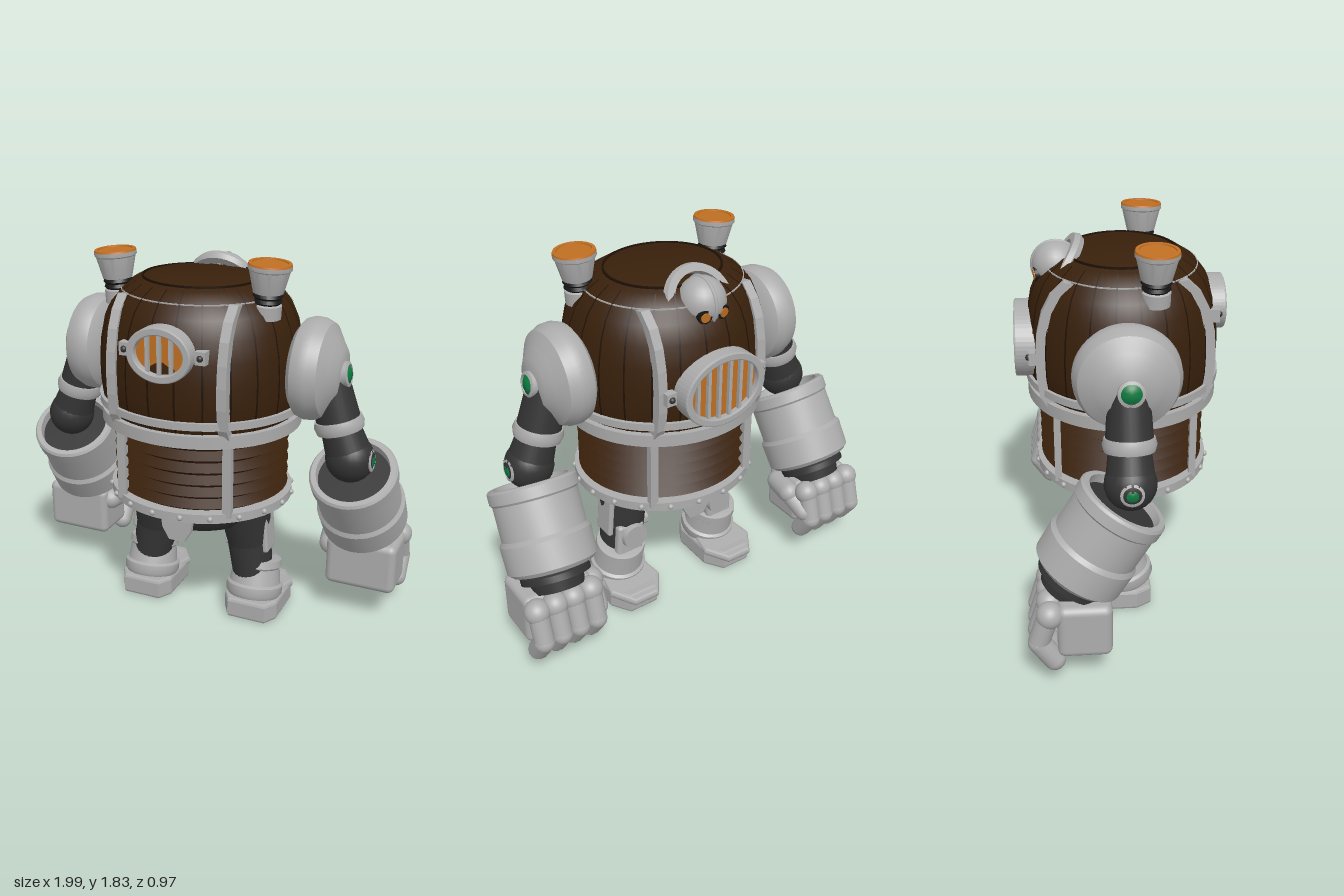
import * as THREE from 'three';
import { toCreasedNormals } from 'three/addons/utils/BufferGeometryUtils.js';
import { RoundedBoxGeometry } from 'three/addons/geometries/RoundedBoxGeometry.js';

const mat = (name, color) => {
  const m = new THREE.MeshStandardMaterial({ color });
  m.name = name;
  return m;
};
const steel = mat('light steel', 0xacacac), dark = mat('dark metal', 0x333333);
const brown = mat('brown', 0x38200b), seam = mat('seam brown', 0x1e1006);
const orange = mat('orange glow', 0xc06f22), green = mat('green gem', 0x0c7a40), black = mat('black', 0x161616);

const V = (x, y, z) => new THREE.Vector3(x, y, z);
const add = (parent, name, geo, m, pos = [0, 0, 0], rot = [0, 0, 0]) => {
  const mesh = new THREE.Mesh(geo, m);
  mesh.name = name;
  mesh.position.set(...pos);
  mesh.rotation.set(...rot);
  parent.add(mesh);
  return mesh;
};
const group = (parent, name) => {
  const g = new THREE.Group();
  g.name = name;
  parent.add(g);
  return g;
};
const lathe = (pts, n = 40) => toCreasedNormals(new THREE.LatheGeometry(pts.map(p => new THREE.Vector2(...p)), n), 0.6);
// Closed band of rectangular section
const band = (r0, r1, y0, y1, n = 56) => lathe([[r0, y0], [r1, y0], [r1, y1], [r0, y1], [r0, y0]], n);
const ball = (r) => new THREE.SphereGeometry(r, 24, 16);
// Stands an object on point a with its +y axis aimed at b
const aim = (o, a, b) => {
  o.position.copy(a);
  o.quaternion.setFromUnitVectors(V(0, 1, 0), b.clone().sub(a).normalize());
  return o;
};
const rod = (parent, name, a, b, ra, rb, m) =>
  aim(add(parent, name, new THREE.CylinderGeometry(rb, ra, a.distanceTo(b), 28).translate(0, a.distanceTo(b) / 2, 0), m), a, b);
const capsule = (parent, name, a, b, r, m) =>
  aim(add(parent, name, new THREE.CapsuleGeometry(r, a.distanceTo(b), 6, 14).translate(0, a.distanceTo(b) / 2, 0), m), a, b);
const gem = (parent, name, a, b, r) => {
  const g = aim(group(parent, name), a, b);
  add(g, 'gemMount', lathe([[0, 0], [r * 1.3, 0], [r * 1.3, 0.04], [r, 0.045], [r, 0.03]], 24), steel);
  add(g, 'gem', lathe([[r, 0.035], [r * 0.6, 0.048], [0, 0.052]], 24), green);
};

const BARREL = [[0.44, 1.05], [0.475, 1.12], [0.487, 1.22], [0.489, 1.32], [0.481, 1.42], [0.46, 1.52], [0.425, 1.6], [0.375, 1.66], [0.31, 1.7], [0.24, 1.72]];

function buildBody(root) {
  const body = group(root, 'body');
  body.position.z = 0.015;
  body.scale.z = 0.92;
  add(body, 'barrel', lathe([[0, 1.05], ...BARREL, [0, 1.722]], 64), brown);
  add(body, 'topSeam', band(0.27, 0.28, 1.69, 1.717), seam);
  // Plank seams
  const line = BARREL.map(([r, y]) => new THREE.Vector2(r + 0.002, y + 0.001));
  for (let i = 0; i < 24; i++) {
    add(body, 'plankSeam', new THREE.LatheGeometry(line.slice(0, 9), 1, (i + 0.5) * Math.PI / 12 - 0.009, 0.018), seam);
  }
  // Bellows waist
  const folds = [[0, 0.68]];
  for (let i = 0; i < 6; i++) folds.push([0.38, 0.68 + i * 0.06], [0.43, 0.71 + i * 0.06]);
  add(body, 'bellows', lathe([...folds, [0.38, 1.05], [0, 1.05]], 56), brown);
  // Hoops
  add(body, 'topHoop', band(0.34, 0.38, 1.63, 1.66), steel);
  add(body, 'chestHoop', band(0.45, 0.497, 1.12, 1.155), steel);
  add(body, 'belt', band(0.38, 0.488, 1.03, 1.09), steel);
  add(body, 'hipHoop', band(0.33, 0.452, 0.645, 0.69), steel);
  for (let i = 0; i < 20; i++) {
    const a = (i + 0.5) * Math.PI / 10;
    add(body, 'rivet', ball(0.014), steel, [0.453 * Math.sin(a), 0.668, 0.453 * Math.cos(a)]);
  }
  // Straps that follow the barrel and the waist
  const X = 0.27;
  const path = BARREL.slice(0, 8).map(([r, y]) => [Math.sqrt(r * r - X * X), y]);
  const shape = new THREE.Shape([...path.map(([z, y]) => new THREE.Vector2(z + 0.032, y)),
    ...path.reverse().map(([z, y]) => new THREE.Vector2(z - 0.03, y - 0.01))]);
  const strap = new THREE.ExtrudeGeometry(shape, { depth: 0.045, bevelEnabled: false }).rotateY(-Math.PI / 2);
  for (const side of [1, -1]) {
    const half = group(body, side > 0 ? 'frontStraps' : 'backStraps');
    half.scale.z = side;
    for (const x of [-X, X]) {
      add(half, 'barrelStrap', strap, steel, [x + 0.0225, 0, 0]);
      add(half, 'waistStrap', new THREE.BoxGeometry(0.042, 0.38, 0.035), steel, [x, 0.86, 0.345]);
    }
  }
  // Pelvis with a plate at each end
  add(body, 'pelvis', lathe([[0, 0.47], [0.17, 0.475], [0.25, 0.51], [0.31, 0.57], [0.35, 0.66]]), dark);
  const plate = new THREE.Shape([[-0.09, 0.65], [-0.075, 0.54], [-0.04, 0.48], [0.04, 0.48], [0.075, 0.54], [0.09, 0.65]].map(p => new THREE.Vector2(...p)));
  const plateGeo = new THREE.ExtrudeGeometry(plate, { depth: 0.025, bevelEnabled: false });
  add(body, 'frontHipPlate', plateGeo, steel, [0, 0, 0.3]);
  add(body, 'backHipPlate', plateGeo, steel, [0, 0, -0.325]);
}

// Oval grille facing +z
function buildVent(root, name, rx, ry, depth, bars) {
  const g = group(root, name);
  const ring = new THREE.Shape().absellipse(0, 0, rx, ry, 0, Math.PI * 2);
  ring.holes.push(new THREE.Path().absellipse(0, 0, rx - 0.025, ry - 0.025, 0, Math.PI * 2));
  add(g, 'ventRim', new THREE.ExtrudeGeometry(ring, { depth: depth - 0.008, bevelSize: 0.006, bevelThickness: 0.008, bevelSegments: 2, curveSegments: 28 }), steel, [0, 0, -depth]);
  const pane = new THREE.Shape().absellipse(0, 0, rx - 0.02, ry - 0.02, 0, Math.PI * 2);
  add(g, 'ventGlow', new THREE.ShapeGeometry(pane, 28), orange, [0, 0, -0.03]);
  for (let i = 0; i < bars; i++) {
    const x = (i - (bars - 1) / 2) * 0.057;
    const h = 2 * (ry - 0.015) * Math.sqrt(1 - (x / (rx - 0.01)) ** 2);
    add(g, 'ventBar', new THREE.BoxGeometry(0.016, h, 0.018), steel, [x, 0, -0.018]);
  }
  for (const s of [-1, 1]) {
    add(g, 'ventLatch', new THREE.BoxGeometry(0.05, 0.06, 0.06), steel, [s * (rx + 0.035), 0, -depth + 0.005]);
    add(g, 'latchBolt', ball(0.015), dark, [s * (rx + 0.035), 0, -depth + 0.035]);
  }
  return g;
}

function buildHead(root) {
  const head = group(root, 'head');
  add(head, 'dome', ball(0.11), steel, [0, 1.65, -0.285]);
  add(head, 'crest', new THREE.TorusGeometry(0.108, 0.009, 8, 32), steel, [0, 1.65, -0.285], [0, Math.PI / 2, 0]);
  const collar = add(head, 'collar', lathe([[0.13, -0.025], [0.165, -0.025], [0.175, 0], [0.165, 0.025], [0.13, 0.025], [0.13, -0.025]]), steel);
  aim(collar, V(0, 1.635, -0.265), V(0, 1.635 + 0.55, -0.265 - 0.83));
  for (const x of [-0.045, 0.045]) {
    const eye = aim(group(head, 'eye'), V(x, 1.62, -0.36), V(x * 1.4, 1.61, -0.46));
    add(eye, 'eyeSocket', new THREE.CylinderGeometry(0.033, 0.036, 0.045, 20), black);
    add(eye, 'eyeLens', new THREE.CylinderGeometry(0.022, 0.022, 0.008, 20), orange, [0, 0.024, 0]);
  }
}

// One side's parts, built for +x
function buildSide(root, name) {
  const s = group(root, name);
  // Exhaust funnel
  const f = aim(group(s, 'funnel'), V(0.365, 1.58, 0.135), V(0.38, 1.83, 0.14));
  add(f, 'funnelBase', lathe([[0, 0], [0.065, 0], [0.065, 0.06], [0.05, 0.07], [0, 0.07]]), steel);
  add(f, 'funnelNeck', lathe([[0.05, 0.06], [0.065, 0.075], [0.058, 0.09], [0.068, 0.1], [0.06, 0.115]]), black);
  add(f, 'funnelCone', lathe([[0.05, 0.11], [0.068, 0.115], [0.092, 0.215], [0.098, 0.22], [0.098, 0.238]]), steel);
  add(f, 'funnelRim', lathe([[0.098, 0.236], [0.095, 0.246], [0.08, 0.246], [0.078, 0.236]]), orange);
  add(f, 'funnelGlow', new THREE.CylinderGeometry(0.08, 0.08, 0.008, 32), orange, [0, 0.236, 0]);
  // Shoulder
  add(s, 'shoulder', lathe([[0, 0.43], [0.19, 0.48], [0.225, 0.505], [0.237, 0.54], [0.235, 0.58], [0.215, 0.625], [0.165, 0.655], [0.155, 0.66], [0.11, 0.69], [0, 0.7]], 48), steel, [0, 1.33, 0], [0, 0, -Math.PI / 2]);
  gem(s, 'shoulderGem', V(0.68, 1.32, 0.005), V(0.78, 1.335, 0.005), 0.045);
  // Upper arm
  const top = V(0.625, 1.3, 0), cuff = V(0.685, 1.08, 0), elbow = V(0.745, 0.92, 0);
  add(s, 'armTop', ball(0.09), dark, top.toArray());
  rod(s, 'upperArm', top, cuff, 0.09, 0.105, dark);
  rod(s, 'lowerArm', cuff, elbow, 0.09, 0.11, dark);
  aim(add(s, 'armCuff', lathe([[0, -0.03], [0.11, -0.03], [0.118, 0], [0.11, 0.03], [0, 0.03]]), steel), cuff, top);
  add(s, 'elbow', ball(0.115), dark, elbow.toArray());
  gem(s, 'elbowGem', V(0.81, 0.92, 0), V(0.91, 0.93, 0), 0.04);
  // Forearm barrel
  const fa = aim(group(s, 'forearm'), V(0.778, 0.5, -0.24), V(0.755, 0.845, -0.025));
  add(fa, 'forearmShell', lathe([[0, 0], [0.19, 0], [0.212, 0.02], [0.215, 0.15], [0.2, 0.17], [0.2, 0.335], [0.21, 0.345], [0.21, 0.395], [0.2, 0.407], [0.175, 0.407], [0.17, 0.33]], 48), steel);
  add(fa, 'forearmSocket', new THREE.CylinderGeometry(0.173, 0.173, 0.03, 40), dark, [0, 0.35, 0]);
  add(fa, 'wrist', lathe([[0, -0.1], [0.12, -0.1], [0.13, -0.05], [0.165, -0.045], [0.165, -0.015], [0.14, 0.01]]), dark);
  // Fist
  const hand = group(s, 'hand');
  add(hand, 'palm', new RoundedBoxGeometry(0.35, 0.26, 0.24, 3, 0.035), steel, [0.8, 0.31, -0.21]);
  for (let i = 0; i < 4; i++) {
    const x = 0.66 + i * 0.092;
    add(hand, 'knuckle', ball(0.06), steel, [x, 0.395, -0.36]);
    capsule(hand, 'fingerBase', V(x, 0.37, -0.375), V(x, 0.25, -0.412), 0.048, steel);
    capsule(hand, 'fingerTip', V(x, 0.25, -0.41), V(x, 0.155, -0.345), 0.05, steel);
  }
  capsule(hand, 'thumbBase', V(0.63, 0.37, -0.17), V(0.61, 0.37, -0.28), 0.058, steel);
  capsule(hand, 'thumbTip', V(0.61, 0.36, -0.28), V(0.635, 0.29, -0.38), 0.048, steel);
  // Leg
  const hip = V(0.235, 0.6, 0.03), knee = V(0.255, 0.4, 0), ankle = V(0.285, 0.2, 0.01);
  rod(s, 'thigh', hip, knee, 0.13, 0.11, dark);
  rod(s, 'shin', knee, ankle, 0.11, 0.1, dark);
  add(s, 'thighPlate', new RoundedBoxGeometry(0.03, 0.22, 0.12, 2, 0.012), steel, [0.352, 0.47, 0], [0, 0, 0.08]);
  add(s, 'kneeCap', new THREE.CylinderGeometry(0.065, 0.07, 0.07, 28), steel, [0.262, 0.36, -0.1], [-Math.PI / 2, 0, 0]);
  add(s, 'shinPlate', new RoundedBoxGeometry(0.15, 0.2, 0.05, 3, 0.02), steel, [0.275, 0.32, -0.085], [0.05, 0, 0.1]);
  gem(s, 'kneeGem', V(0.175, 0.37, -0.02), V(0.08, 0.37, -0.02), 0.028);
  // Boot
  const boot = group(s, 'boot');
  add(boot, 'bootCuff', lathe([[0, -0.07], [0.13, -0.07], [0.142, -0.05], [0.142, -0.01], [0.128, 0], [0.118, 0.08], [0.126, 0.09], [0.122, 0.125], [0.095, 0.13], [0, 0.12]]), steel, [0.29, 0.165, 0], [-0.25, 0, 0]);
  const slab = (pts, h) => new THREE.ExtrudeGeometry(new THREE.Shape(pts.map(p => new THREE.Vector2(...p))),
    { depth: h - 0.03, bevelThickness: 0.015, bevelSize: 0.015, bevelSegments: 2 }).rotateX(-Math.PI / 2).translate(0, 0.015, 0);
  add(boot, 'sole', slab([[-0.09, -0.12], [0.09, -0.12], [0.125, -0.06], [0.125, 0.15], [0.07, 0.235], [-0.07, 0.235], [-0.125, 0.15], [-0.125, -0.06]], 0.105), steel, [0.293, 0, 0]);
  add(boot, 'toePlate', slab([[-0.11, 0.04], [0.11, 0.04], [0.13, 0.16], [0.06, 0.265], [-0.06, 0.265], [-0.13, 0.16]], 0.04), steel, [0.293, 0.085, 0], [-0.1, 0, 0]);
  return s;
}

export function createModel() {
  const root = new THREE.Group();
  root.name = 'barrelRobot';
  buildBody(root);
  buildVent(root, 'frontVent', 0.148, 0.12, 0.075, 3).position.set(0, 1.455, 0.487);
  const back = buildVent(root, 'backVent', 0.21, 0.17, 0.1, 6);
  back.position.set(0, 1.295, -0.485);
  back.rotation.y = Math.PI;
  buildHead(root);
  buildSide(root, 'leftSide');
  buildSide(root, 'rightSide').scale.x = -1;
  return root;
}
